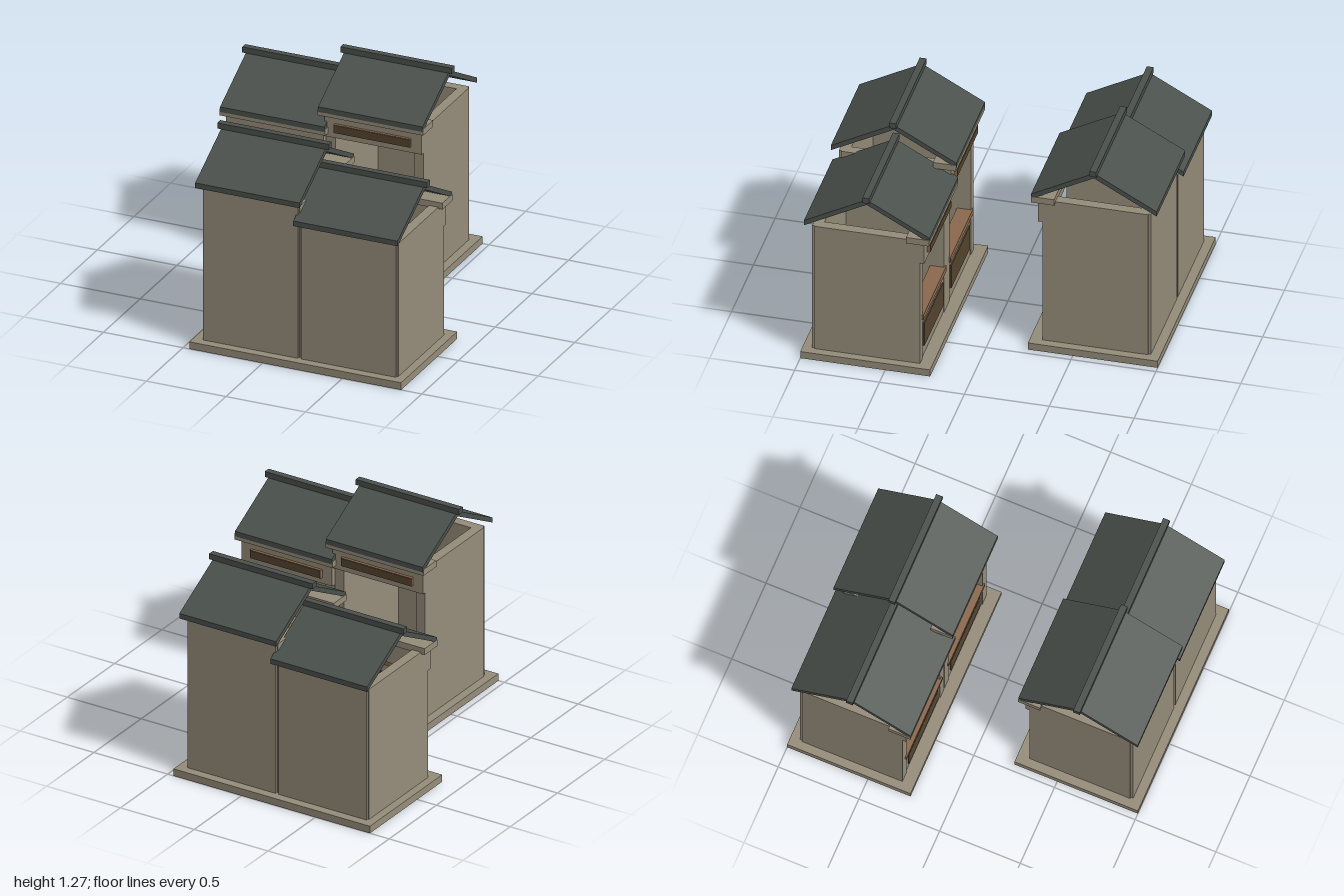
import * as THREE from 'three';

const flat = (name, color) => {
  const m = new THREE.MeshStandardMaterial({ color });
  m.name = name;
  return m;
};

export function createModel() {
  const plaster = flat('plaster', 0x968d7b);
  const slate = flat('slate', 0x4b514d);
  const timber = flat('timber', 0x8b6a4e);
  const darkWood = flat('darkWood', 0x554530);

  // Box given by its limits on each axis
  const box = (parent, name, mat, [x0, x1], [y0, y1], [z0, z1]) => {
    const mesh = new THREE.Mesh(new THREE.BoxGeometry(x1 - x0, y1 - y0, z1 - z0), mat);
    mesh.position.set((x0 + x1) / 2, (y0 + y1) / 2, (z0 + z1) / 2);
    mesh.name = name;
    parent.add(mesh);
  };

  // One stall, open to +z, centred on x = 0, with wall height h
  const stall = (h) => {
    const g = new THREE.Group();
    const w = 0.306;
    const floor = 0.04;

    // Walls
    box(g, 'leftWall', plaster, [w - 0.06, w], [floor, h], [-0.93, -0.307]);
    box(g, 'rightWall', plaster, [-w, -w + 0.06], [floor, h], [-0.93, -0.307]);
    box(g, 'backWall', plaster, [-w + 0.008, w - 0.008], [floor, h], [-0.945, -0.885]);

    // Shop front
    box(g, 'lowerWall', plaster, [-w + 0.06, w - 0.06], [floor, 0.315], [-0.36, -0.312]);
    box(g, 'lowerPanel', darkWood, [-0.215, 0.215], [0.11, 0.265], [-0.312, -0.304]);
    box(g, 'counter', timber, [-0.265, 0.265], [0.315, 0.35], [-0.39, -0.298]);
    box(g, 'fascia', plaster, [-w, w], [h - 0.15, h], [-0.345, -0.283]);
    box(g, 'signFrame', timber, [-0.24, 0.24], [h - 0.112, h - 0.06], [-0.283, -0.266]);
    box(g, 'signFace', darkWood, [-0.237, 0.237], [h - 0.109, h - 0.063], [-0.267, -0.263]);
    box(g, 'cornice', plaster, [-0.332, 0.332], [h - 0.01, h + 0.03], [-0.383, -0.247]);

    // Gabled roof: chevron profile swept along x
    const ridgeZ = -0.616, half = 0.37, width = 0.656;
    const profile = new THREE.Shape([
      [-half, 0.012], [0, 0.212], [half, 0.012],
      [half, 0.044], [0, 0.245], [-half, 0.044],
    ].map(([x, y]) => new THREE.Vector2(x, y)));
    const roofGeo = new THREE.ExtrudeGeometry(profile, { depth: width, bevelEnabled: false });
    roofGeo.translate(0, 0, -width / 2).rotateY(Math.PI / 2);
    const roof = new THREE.Mesh(roofGeo, slate);
    roof.name = 'roof';
    roof.position.set(0, h, ridgeZ);
    g.add(roof);
    box(g, 'ridgeCap', slate, [-0.35, 0.35], [h + 0.235, h + 0.27], [ridgeZ - 0.02, ridgeZ + 0.02]);
    return g;
  };

  // Pair of stalls on one plinth
  const row = () => {
    const g = new THREE.Group();
    box(g, 'plinth', plaster, [-0.87, 0.46], [0, 0.045], [-1, -0.235]);
    const low = stall(0.88);
    low.name = 'lowStall';
    low.position.x = -0.514;
    const tall = stall(1.0);
    tall.name = 'tallStall';
    tall.position.x = 0.102;
    g.add(low, tall);
    return g;
  };

  // Two rows face each other across a lane
  const model = new THREE.Group();
  model.name = 'marketLane';
  ['backRow', 'frontRow'].forEach((name, i) => {
    const r = row();
    r.name = name;
    r.rotation.y = i * Math.PI;
    model.add(r);
  });
  return model;
}
